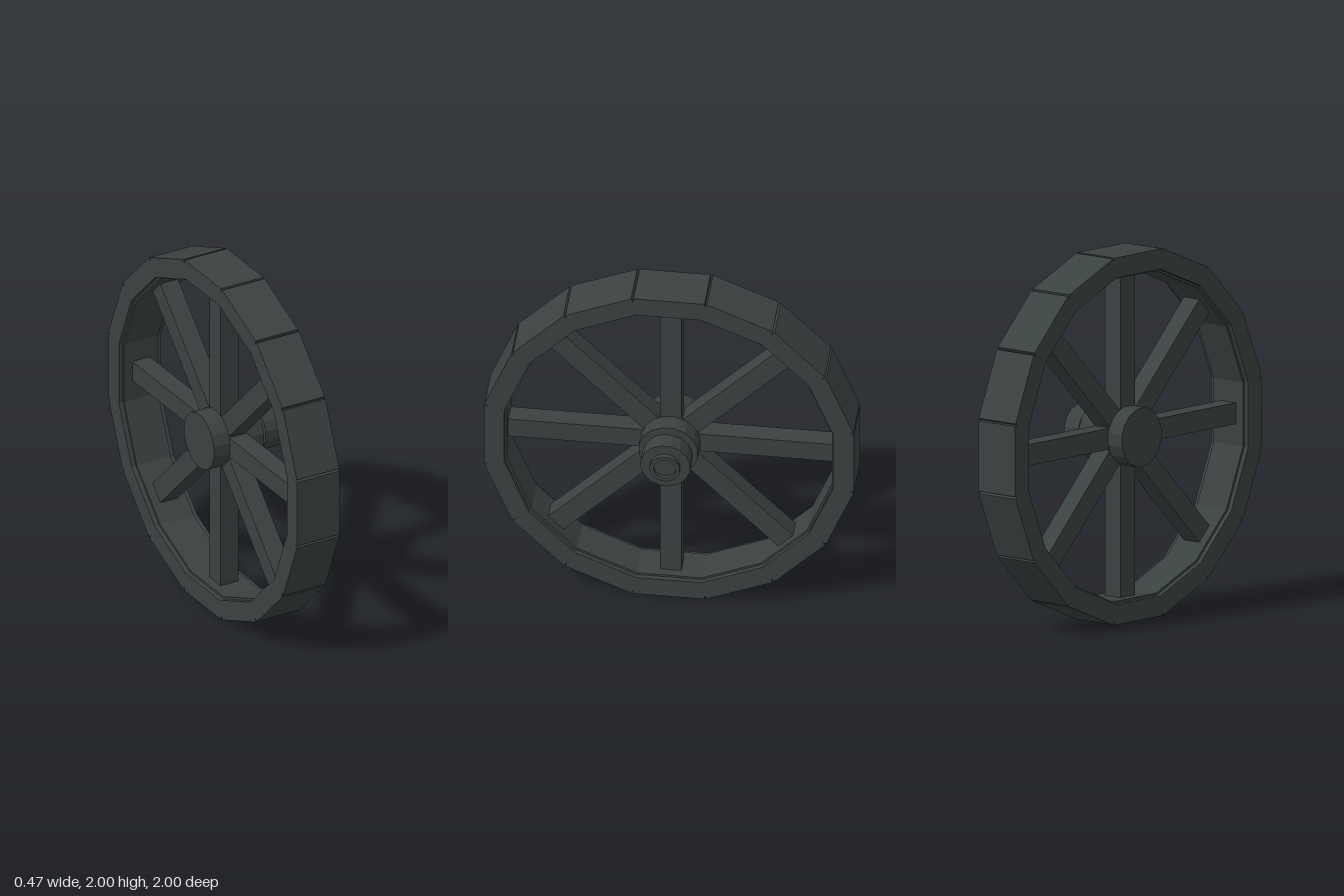
import * as THREE from 'three';

const iron = new THREE.MeshStandardMaterial({ color: 0x3a4241 });
iron.name = 'darkIron';

const SIDES = 16;
const MID = -0.08; // middle of the rim along the axle

// Faceted copy of a geometry
function faceted(geometry) {
  const g = geometry.index ? geometry.toNonIndexed() : geometry;
  g.computeVertexNormals();
  return g;
}

function addMesh(parent, name, geometry) {
  const mesh = new THREE.Mesh(geometry, iron);
  mesh.name = name;
  parent.add(mesh);
  return mesh;
}

// Extrude a flat outline between two positions along the axle
function slab(shape, from, to) {
  const g = new THREE.ExtrudeGeometry(shape, { depth: to - from, bevelEnabled: false });
  return g.translate(0, 0, from);
}

// Corners of a regular polygon with flat sides at top and bottom
function polygon(apothem) {
  const r = apothem / Math.cos(Math.PI / SIDES);
  return Array.from({ length: SIDES }, (_, i) => {
    const a = ((i + 0.5) / SIDES) * Math.PI * 2;
    return new THREE.Vector2(r * Math.cos(a), r * Math.sin(a));
  });
}

// Turned part around the axle; profile is [radius, position] pairs
function turned(profile) {
  const points = profile.map(([r, p]) => new THREE.Vector2(r, p));
  const g = new THREE.LatheGeometry(points, SIDES, Math.PI / SIDES);
  return faceted(g.rotateX(Math.PI / 2));
}

export function createModel() {
  const model = new THREE.Group();
  model.name = 'wheel';

  // The wheel is built around z, then turned so its axle lies along x
  const wheel = new THREE.Group();
  wheel.name = 'wheelAssembly';
  wheel.rotation.y = Math.PI / 2;
  wheel.position.y = 1;
  model.add(wheel);

  // Rim segments with small notches at the outer joints
  const rim = new THREE.Group();
  rim.name = 'rim';
  wheel.add(rim);
  const outline = [
    [-0.177, 0.89], [0.177, 0.89], [0.1945, 0.978],
    [0.192, 1], [-0.192, 1], [-0.1945, 0.978],
  ].map(([x, y]) => new THREE.Vector2(x, y));
  const segmentGeometry = slab(new THREE.Shape(outline), MID - 0.132, MID + 0.132);
  for (let i = 0; i < SIDES; i++) {
    const segment = addMesh(rim, 'rimSegment', segmentGeometry);
    segment.rotation.z = (i / SIDES) * Math.PI * 2;
  }

  // Narrower band lining the inside of the rim
  const band = new THREE.Shape(polygon(0.9));
  band.holes.push(new THREE.Path(polygon(0.878)));
  addMesh(wheel, 'innerBand', slab(band, MID - 0.105, MID + 0.105));

  // Eight square spokes
  const spokeGeometry = new THREE.BoxGeometry(0.115, 0.8, 0.11).translate(0, 0.485, MID);
  for (let i = 0; i < 8; i++) {
    const spoke = addMesh(wheel, 'spoke', spokeGeometry);
    spoke.rotation.z = (i / 8) * Math.PI * 2;
  }

  // Hub, axle neck and end cap with a hollow tip
  addMesh(wheel, 'hub', turned([[0, -0.235], [0.162, -0.235], [0.162, 0.075], [0, 0.075]]));
  addMesh(wheel, 'axleNeck', turned([[0.072, 0.07], [0.072, 0.105]]));
  addMesh(wheel, 'axleCap', turned([[0, 0.1], [0.136, 0.1], [0.136, 0.202], [0, 0.202]]));
  addMesh(wheel, 'axleTip', turned([
    [0.082, 0.2], [0.082, 0.232], [0.06, 0.232], [0.06, 0.21], [0, 0.21],
  ]));

  return model;
}
